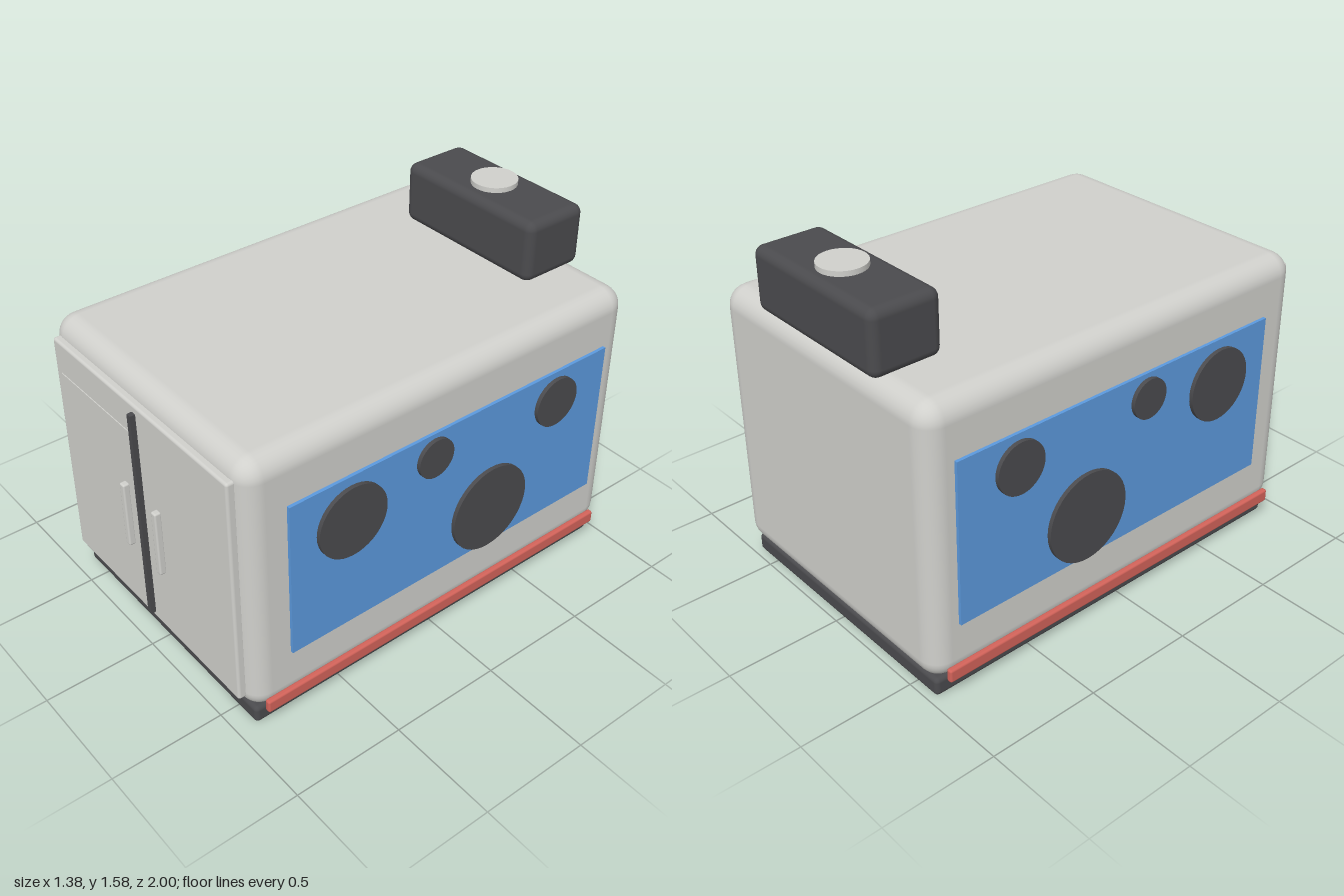
import * as THREE from 'three';
import { RoundedBoxGeometry } from 'three/addons/geometries/RoundedBoxGeometry.js';

export function createModel() {
  const mat = (name, color) => {
    const m = new THREE.MeshStandardMaterial({ color });
    m.name = name;
    return m;
  };
  const pale = mat('pale grey', 0xd0d0cc);
  const dark = mat('charcoal', 0x4b4b4e);
  const blue = mat('blue', 0x5c9ade);
  const red = mat('red', 0xd3635a);

  const model = new THREE.Group();
  model.name = 'container';

  const add = (name, geometry, material, x, y, z) => {
    const mesh = new THREE.Mesh(geometry, material);
    mesh.name = name;
    mesh.position.set(x, y, z);
    model.add(mesh);
    return mesh;
  };
  // Box given by its min and max corners, with rounded edges when r > 0
  const block = (name, material, [x0, y0, z0], [x1, y1, z1], r = 0, seg = 3) => {
    const size = [x1 - x0, y1 - y0, z1 - z0];
    const geometry = r ? new RoundedBoxGeometry(...size, seg, r) : new THREE.BoxGeometry(...size);
    return add(name, geometry, material, (x0 + x1) / 2, (y0 + y1) / 2, (z0 + z1) / 2);
  };

  // Main shell and plinth
  block('base', dark, [-0.628, 0, -0.968], [0.628, 0.082, 0.917], 0.02);
  block('body', pale, [-0.66, 0.08, -1], [0.66, 1.297, 0.945], 0.09, 4);

  // Roof unit with its round cap
  block('roofUnit', dark, [-0.377, 1.286, -1], [0.377, 1.56, -0.687], 0.04);
  add('roofCap', new THREE.CylinderGeometry(0.1, 0.1, 0.03, 32), pale, 0, 1.567, -0.847);

  // Front doors, divider, window plate and handles
  block('doors', pale, [-0.598, 0.148, 0.93], [0.598, 1.22, 0.973], 0.012);
  block('doorDivider', dark, [-0.012, 0.18, 0.965], [0.012, 1.186, 0.996]);
  block('doorPlate', pale, [-0.553, 0.822, 0.97], [-0.044, 1.073, 0.977]);
  for (const s of [-1, 1]) {
    const cx = s * 0.113;
    block('doorHandle', pale, [cx - 0.016, 0.477, 0.968], [cx + 0.016, 0.789, 1], 0.008, 2);
  }

  // Side panels, discs and lower rails: [z, y, radius] for each disc
  const discs = [
    [0.48, 0.855, 0.163],
    [0.07, 0.949, 0.088],
    [-0.592, 0.917, 0.113],
    [-0.247, 0.539, 0.201],
  ];
  for (const s of [-1, 1]) {
    const span = (a, b) => (s > 0 ? [a, b] : [-b, -a]);
    const [p0, p1] = span(0.65, 0.674);
    block('sidePanel', blue, [p0, 0.335, -0.877], [p1, 1.058, 0.764]);
    const [r0, r1] = span(0.652, 0.68);
    block('sideRail', red, [r0, 0.087, -0.938], [r1, 0.147, 0.89], 0.01, 2);
    for (const [z, y, r] of discs) {
      const disc = add('sideDisc', new THREE.CylinderGeometry(r, r, 0.03, 40), dark, s * 0.677, y, z);
      disc.rotation.z = Math.PI / 2;
    }
  }
  return model;
}
